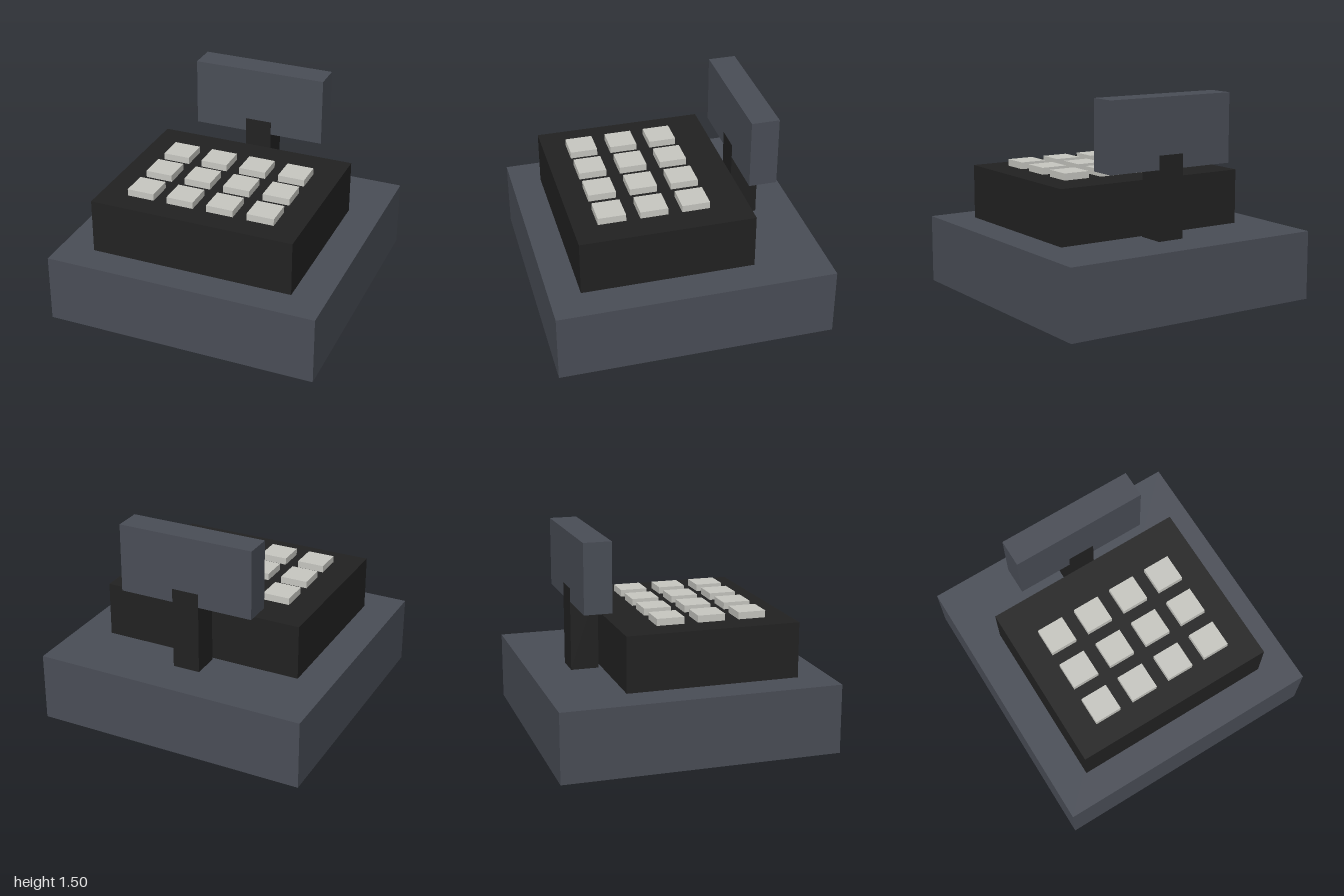
import * as THREE from 'three';

function material(name, color) {
  const m = new THREE.MeshStandardMaterial({ color });
  m.name = name;
  return m;
}

export function createModel() {
  const group = new THREE.Group();
  group.name = 'cashRegister';

  const slate = material('slate grey', 0x4a4e57);
  const black = material('black', 0x222222);
  const ivory = material('pale grey', 0xc8c8c2);

  // Box standing on height y, centred on x and z
  function box(name, mat, [w, h, d], [x, y, z], parent = group) {
    const mesh = new THREE.Mesh(new THREE.BoxGeometry(w, h, d), mat);
    mesh.name = name;
    mesh.position.set(x, y + h / 2, z);
    parent.add(mesh);
  }

  // Cash drawer base and keypad housing
  box('drawerBase', slate, [2, 0.5, 2], [0, 0, 0]);
  box('keypadHousing', black, [1.5, 0.4, 1.25], [0, 0.5, 0.15]);

  // Customer display on its post; the post stands a hair proud of the screen
  box('displayPost', black, [0.2, 0.6, 0.202], [0, 0.5, -0.6]);
  box('display', slate, [1, 0.5, 0.2], [0, 1, -0.6]);

  // Keypad: three rows of four keys
  const keys = new THREE.Group();
  keys.name = 'keys';
  group.add(keys);
  for (let row = 0; row < 3; row++) {
    for (let col = 0; col < 4; col++) {
      box('key', ivory, [0.2, 0.05, 0.2], [-0.45 + col * 0.3, 0.9, -0.1 + row * 0.3], keys);
    }
  }

  return group;
}
